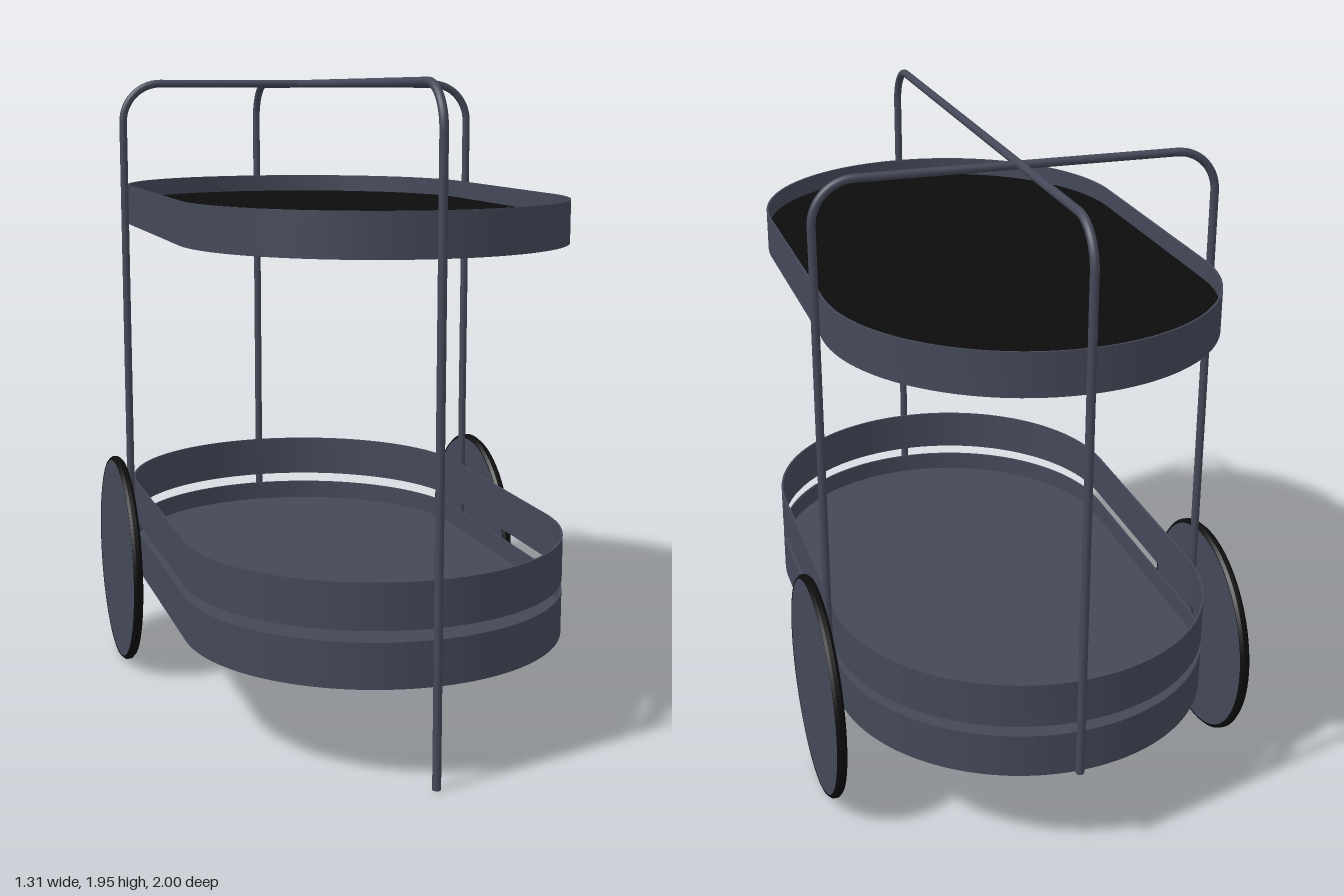
import * as THREE from 'three';
import { toCreasedNormals } from 'three/addons/utils/BufferGeometryUtils.js';

const slate = new THREE.MeshStandardMaterial({ color: 0x444858 });
const black = new THREE.MeshStandardMaterial({ color: 0x0c0c0c });

const HALF_W = 0.58, HALF_STRAIGHT = 0.395;   // stadium plan of the trays
const ROD = 0.0125, BEND = 0.125, TOP = 1.9355;
const WHEEL_R = 0.345, WHEEL_X = 0.64, WHEEL_Z = -0.39;

function mesh(name, geometry, material = slate) {
  const m = new THREE.Mesh(geometry, material);
  m.name = name;
  return m;
}

// Rounded-end outline, optionally shrunk inward
function stadium(inset = 0, Type = THREE.Shape) {
  const r = HALF_W - inset;
  const s = new Type();
  s.absarc(0, HALF_STRAIGHT, r, 0, Math.PI, false);
  s.absarc(0, -HALF_STRAIGHT, r, Math.PI, Math.PI * 2, false);
  s.closePath();
  return s;
}

// Horizontal slab of a plan shape between two heights
function slab(name, shape, y0, y1, material) {
  let g = new THREE.ExtrudeGeometry(shape, { depth: y1 - y0, bevelEnabled: false, curveSegments: 40 });
  g.rotateX(-Math.PI / 2);
  g.translate(0, y0, 0);
  return mesh(name, toCreasedNormals(g, 0.6), material);
}

function band(name, y0, y1) {
  const s = stadium();
  s.holes.push(stadium(0.006, THREE.Path));
  return slab(name, s, y0, y1);
}

// Bent hoop in the XY plane: two legs, two bends and a top bar
function hoop(name, halfSpan, rightBottom, leftBottom) {
  const g = new THREE.Group();
  g.name = name;
  for (const [side, bottom] of [[1, rightBottom], [-1, leftBottom]]) {
    const h = TOP - BEND - bottom;
    const leg = mesh('leg', new THREE.CylinderGeometry(ROD, ROD, h, 16));
    leg.position.set(side * halfSpan, bottom + h / 2, 0);
    const bend = mesh('bend', new THREE.TorusGeometry(BEND, ROD, 16, 14, Math.PI / 2));
    bend.position.set(side * (halfSpan - BEND), TOP - BEND, 0);
    if (side < 0) bend.rotation.z = Math.PI / 2;
    g.add(leg, bend);
  }
  const bar = mesh('topBar', new THREE.CylinderGeometry(ROD, ROD, 2 * (halfSpan - BEND), 16));
  bar.rotation.z = Math.PI / 2;
  bar.position.y = TOP;
  g.add(bar);
  return g;
}

// Solid disc wheel with a chamfered tyre and a stub axle
function wheel(name, side) {
  const g = new THREE.Group();
  g.name = name;
  const r = WHEEL_R, profile = [
    [r - 0.012, -0.015], [r - 0.008, -0.015], [r, -0.006], [r, 0.006],
    [r - 0.008, 0.015], [r - 0.012, 0.015], [r - 0.012, -0.015],
  ].map(([x, y]) => new THREE.Vector2(x, y));
  const tyre = mesh('tyre', toCreasedNormals(new THREE.LatheGeometry(profile, 72), 0.5), black);
  const disc = mesh('wheelDisc', new THREE.CylinderGeometry(r - 0.011, r - 0.011, 0.028, 72));
  const axle = mesh('axle', new THREE.CylinderGeometry(ROD, ROD, 0.045, 16));
  axle.position.y = side * -0.0275;
  g.add(tyre, disc, axle);
  g.rotation.z = -Math.PI / 2;
  g.position.set(side * WHEEL_X, WHEEL_R, WHEEL_Z);
  return g;
}

export function createModel() {
  const model = new THREE.Group();
  model.name = 'servingTrolley';

  // Upper tray with its dark inlay
  model.add(
    band('upperTrayWall', 1.475, 1.603),
    slab('upperTrayFloor', stadium(0.005), 1.53, 1.54),
    slab('upperTrayInlay', stadium(0.006), 1.54, 1.546, black),
  );

  // Lower tray and the guard rail above it
  model.add(
    band('lowerTrayWall', 0.295, 0.43),
    slab('lowerTrayFloor', stadium(0.005), 0.355, 0.367),
    band('guardRail', 0.463, 0.6),
  );

  // Long hoop: full-length front leg, short back leg
  const longHoop = hoop('longHoop', 1 - ROD, 0, 0.297);
  longHoop.rotation.y = -Math.PI / 2;
  // Cross hoop carrying the wheels
  const crossHoop = hoop('crossHoop', 0.6, WHEEL_R - ROD, WHEEL_R - ROD);
  crossHoop.position.z = WHEEL_Z;
  model.add(longHoop, crossHoop);

  model.add(wheel('leftWheel', 1), wheel('rightWheel', -1));
  return model;
}
